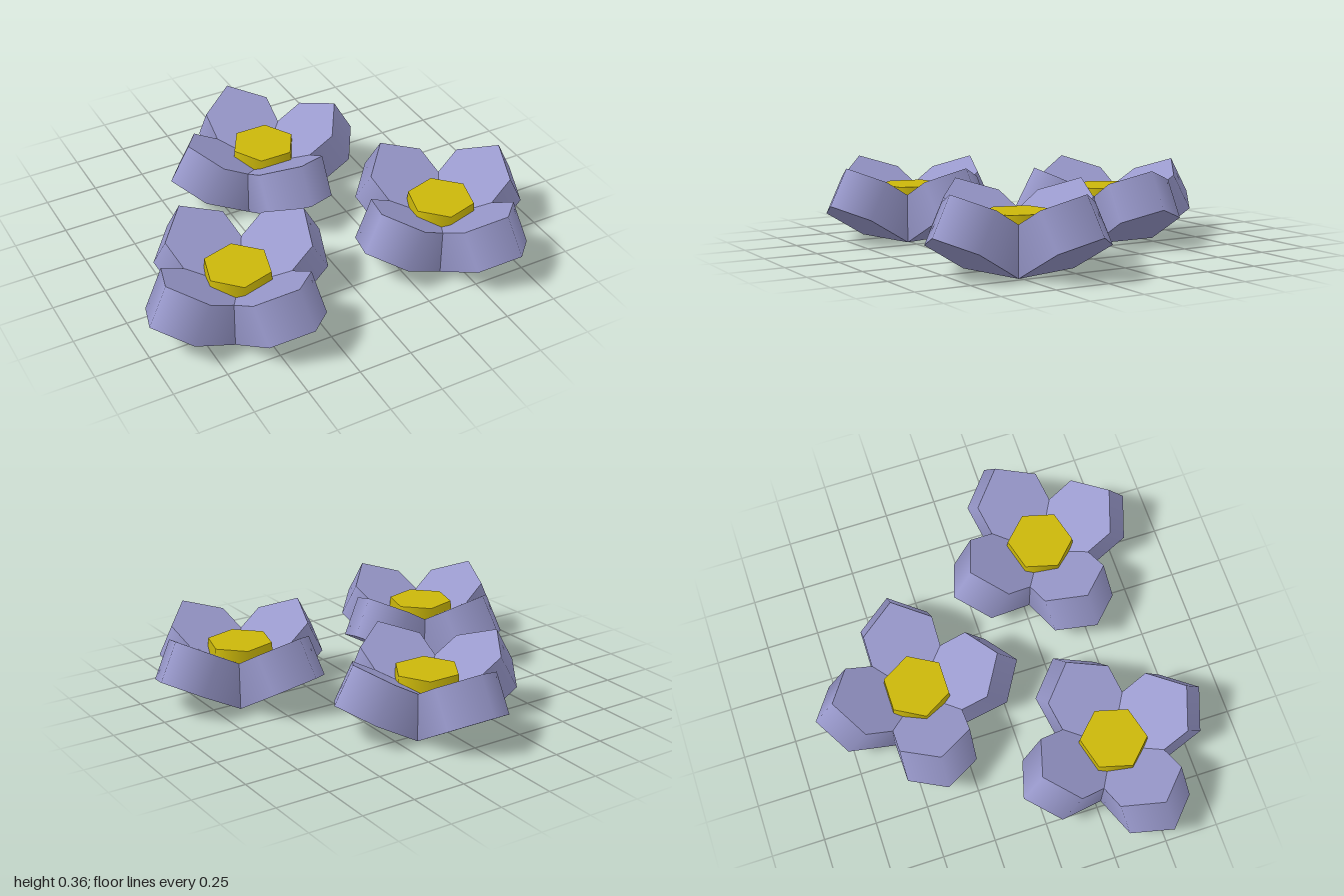
import * as THREE from 'three';

const HALF = 0.167;      // half width of a petal and of the base
const THICK = 0.195;     // petal thickness
const TILT = Math.PI / 6;

// Five-cornered slab: a stretched six-sided cylinder with its inner end squared off, tilted upward
function petalGeometry() {
  const g = new THREE.CylinderGeometry(HALF / Math.sin(Math.PI / 3), HALF / Math.sin(Math.PI / 3), THICK, 6);
  g.scale(1, 1, 1.25);
  g.translate(0, THICK / 2, 0.134);
  const p = g.attributes.position;
  for (let i = 0; i < p.count; i++) {
    // leave the cap centres alone
    const isCentre = Math.abs(p.getX(i)) < 1e-4 && Math.abs(p.getZ(i) - 0.134) < 1e-4;
    if (!isCentre && p.getZ(i) < 0.1) p.setZ(i, 0);
  }
  g.rotateX(-TILT);
  g.translate(0, 0, HALF);
  return g;
}

export function createModel() {
  const lavender = new THREE.MeshStandardMaterial({ color: 0x9999cc });
  lavender.name = 'lavender';
  const yellow = new THREE.MeshStandardMaterial({ color: 0xccb80a });
  yellow.name = 'yellow';

  const petalGeo = petalGeometry();

  // Square base closing the underside between the petals
  const baseGeo = new THREE.CylinderGeometry(0.07 * Math.SQRT2, HALF * Math.SQRT2, 0.168, 4).toNonIndexed();
  baseGeo.rotateY(Math.PI / 4);
  baseGeo.translate(0, 0.084, 0);
  baseGeo.computeVertexNormals();

  // Six-sided flower centre with a slightly narrower top
  const centreGeo = new THREE.CylinderGeometry(0.155, 0.163, 0.1, 6);
  centreGeo.rotateY(Math.PI / 6);
  centreGeo.translate(0, 0.2, 0);

  function makeFlower(name, x, z, turn) {
    const flower = new THREE.Group();
    flower.name = name;
    const add = (geo, mat, part) => {
      const m = new THREE.Mesh(geo, mat);
      m.name = part;
      flower.add(m);
      return m;
    };
    for (let i = 0; i < 4; i++) add(petalGeo, lavender, 'petal').rotation.y = i * Math.PI / 2;
    add(baseGeo, lavender, 'flowerBase');
    add(centreGeo, yellow, 'flowerCentre');
    flower.position.set(x, 0, z);
    flower.rotation.y = turn;
    return flower;
  }

  const model = new THREE.Group();
  model.name = 'flowerCluster';
  const turn = Math.PI / 12;
  model.add(
    makeFlower('backFlower', 0, -0.387, 0),
    makeFlower('leftFlower', 0.522, 0.395, turn),
    makeFlower('rightFlower', -0.522, 0.395, turn)
  );
  return model;
}
